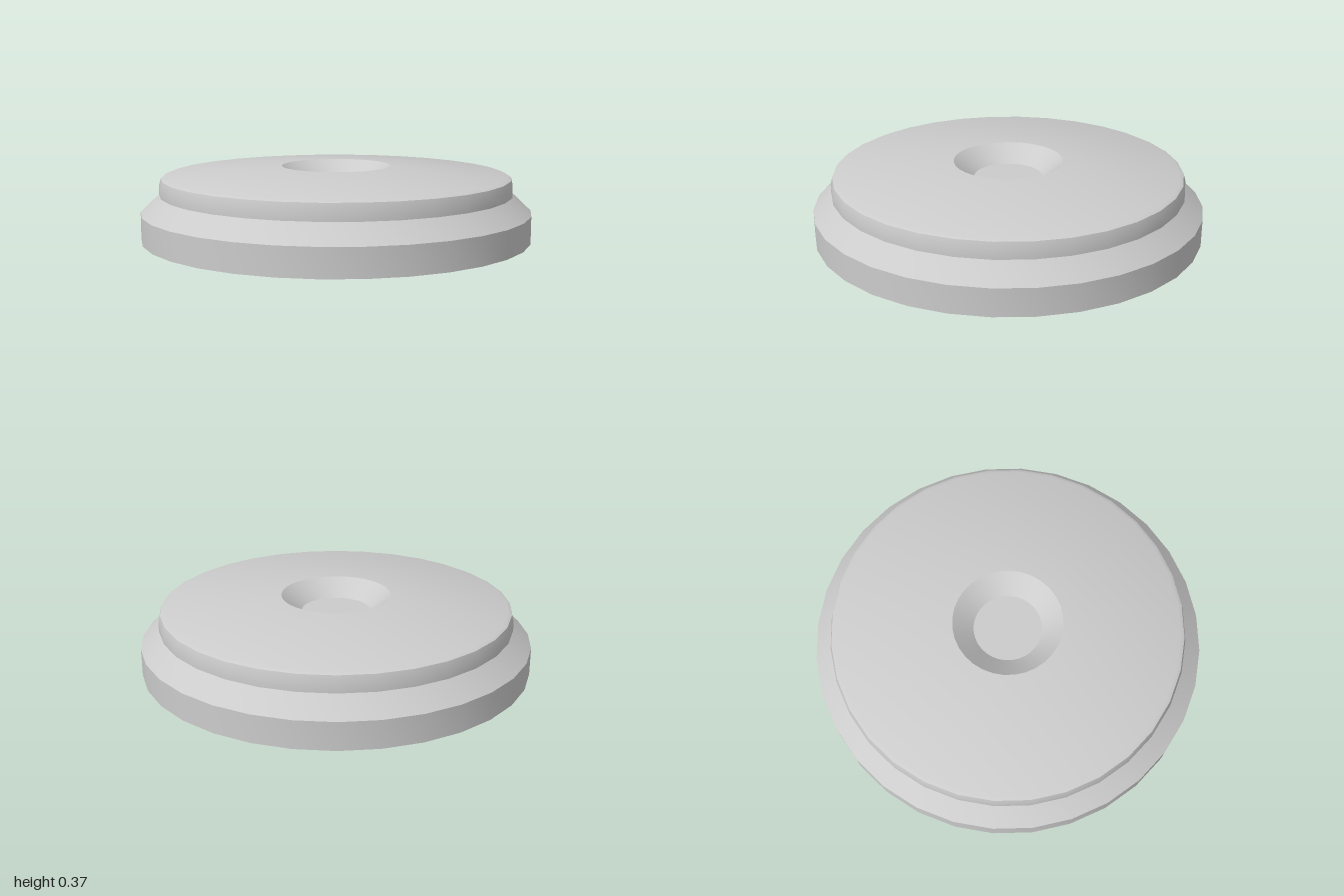
import * as THREE from 'three';
import { toCreasedNormals } from 'three/addons/utils/BufferGeometryUtils.js';

const SIDES = 32;

// Turned part from [radius, height] pairs, listed from the bottom up the outside
function turned(name, profile) {
  const points = profile.map(([r, y]) => new THREE.Vector2(r, y));
  const geometry = toCreasedNormals(new THREE.LatheGeometry(points, SIDES), 0.5);
  const mesh = new THREE.Mesh(geometry, new THREE.MeshStandardMaterial({ color: 0xcccccc }));
  mesh.name = name;
  return mesh;
}

export function createModel() {
  const group = new THREE.Group();
  group.name = 'roundDisc';
  group.add(
    // Flat underside, upright rim and sloping shoulder
    turned('base', [[0, 0], [1, 0], [1, 0.14], [0.905, 0.23]]),
    // Raised upper step with a softened edge and a gently sloping top
    turned('cap', [[0.905, 0.23], [0.905, 0.275], [0.895, 0.312], [0.875, 0.322], [0.28, 0.365]]),
    // Conical recess with a flat floor
    turned('recess', [[0.28, 0.365], [0.175, 0.28], [0, 0.28]])
  );
  return group;
}
